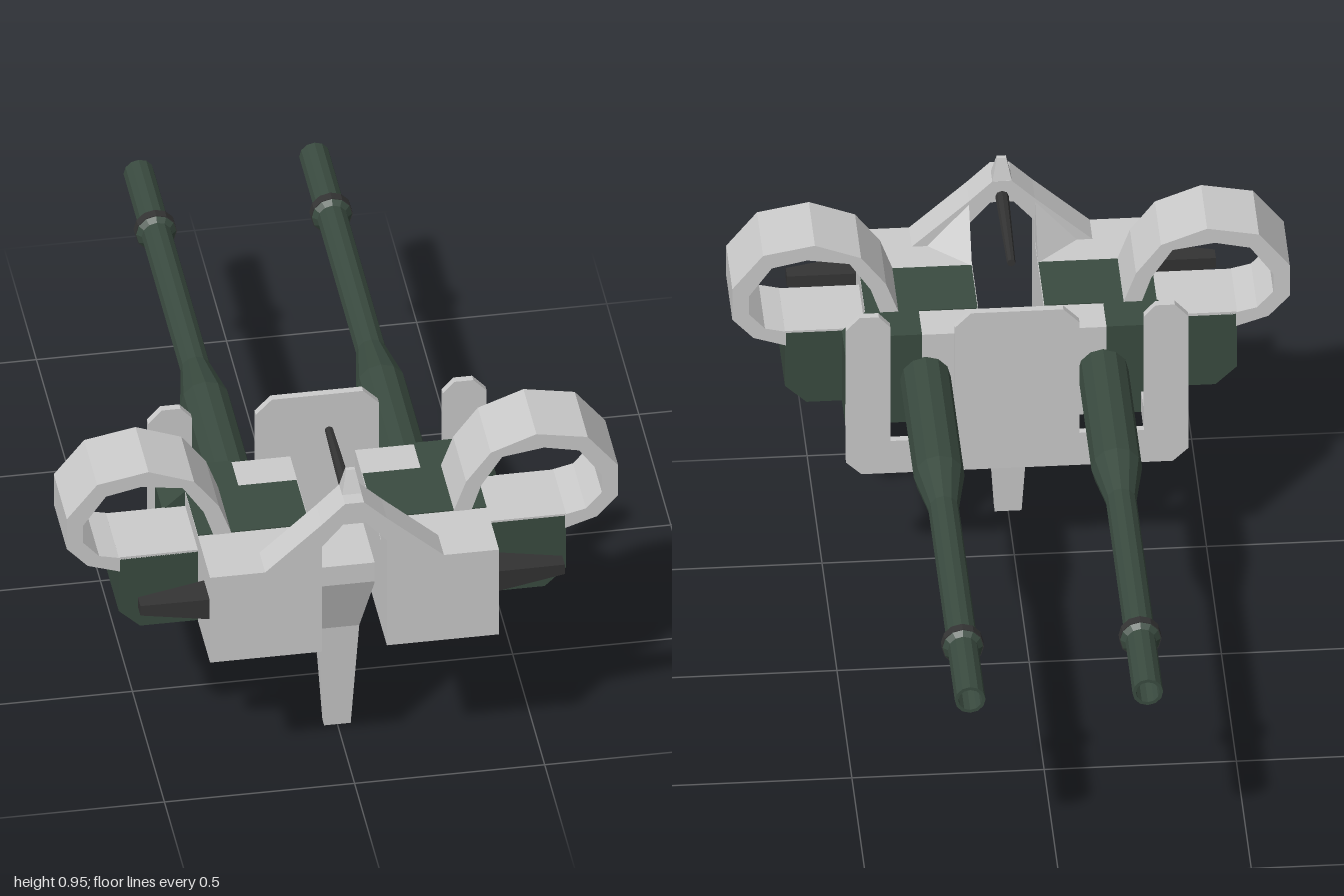
import * as THREE from 'three';
import { ConvexGeometry } from 'three/addons/geometries/ConvexGeometry.js';

const paint = (color) => new THREE.MeshStandardMaterial({ color, flatShading: true });
const grey = paint(0xcccccc);
const green = paint(0x3a4b40);
const black = paint(0x343434);

export function createModel() {
  const root = new THREE.Group();

  const add = (name, geometry, material) => {
    const mesh = new THREE.Mesh(geometry, material);
    mesh.name = name;
    root.add(mesh);
    return mesh;
  };
  // Box given by its limits
  const box = (name, mat, x0, x1, y0, y1, z0, z1) => {
    const m = add(name, new THREE.BoxGeometry(Math.abs(x1 - x0), y1 - y0, z1 - z0), mat);
    m.position.set((x0 + x1) / 2, (y0 + y1) / 2, (z0 + z1) / 2);
  };
  // Front outline (x, y) extruded from z0 to z1; s mirrors it in x
  const slab = (name, mat, pts, z0, z1, s = 1) => {
    const shape = new THREE.Shape(pts.map(([x, y]) => new THREE.Vector2(s * x, y)));
    const g = new THREE.ExtrudeGeometry(shape, { depth: z1 - z0, bevelEnabled: false });
    add(name, g.translate(0, 0, z0), mat);
  };
  const hull = (name, mat, pts) =>
    add(name, new ConvexGeometry(pts.map((p) => new THREE.Vector3(...p))), mat);
  // Complete a half outline with its mirror image
  const symmetric = (half) => [...half, ...half.map(([x, y]) => [-x, y]).reverse()];
  // Corners of a rectangle at height y
  const level = (y, hx, z0, z1) => [[-hx, y, z0], [hx, y, z0], [hx, y, z1], [-hx, y, z1]];

  // Pedestal spike and the yoke between the guns
  hull('pedestal', grey, [...level(0, 0.035, 0.705, 0.732), ...level(0.32, 0.055, 0.69, 0.747)]);
  hull('pedestalFlare', grey, [...level(0.32, 0.055, 0.69, 0.747), ...level(0.5, 0.086, 0.62, 0.81)]);
  box('yoke', grey, -0.086, 0.086, 0.5, 0.56, 0.62, 0.81);

  // Arched front frame joining the housings
  slab('frontArch', grey, symmetric([
    [0.03, 0.828], [0.085, 0.765], [0.085, 0.69], [0.235, 0.7], [0.085, 0.835], [0.025, 0.893],
  ]), 0.91, 1);
  hull('frontSightBlade', grey, [
    ...level(0.89, 0.026, 0.91, 0.96), ...level(0.955, 0.012, 0.925, 0.937),
  ]);
  const rod = add('sightRod', new THREE.CylinderGeometry(0.018, 0.011, 0.33, 8), black);
  rod.rotation.x = Math.PI / 2;
  rod.position.set(0, 0.845, 0.765);

  // Slotted shield plate behind the guns
  slab('shieldPlate', grey, symmetric([
    [0.12, 0.828], [0.162, 0.785], [0.162, 0.44], [0.33, 0.44], [0.33, 0.795], [0.36, 0.828],
    [0.41, 0.828], [0.445, 0.79], [0.445, 0.378], [0.405, 0.34],
  ]), 0.4, 0.42);

  // Barrel profile: radius, distance from the housing
  const barrel = [
    [0, 0], [0.066, 0], [0.066, 0.46], [0.04, 0.61], [0.04, 1.215], [0.054, 1.228],
    [0.054, 1.252], [0.04, 1.265], [0.04, 1.5], [0.031, 1.5], [0.031, 1.4], [0, 1.4],
  ].map(([r, d]) => new THREE.Vector2(r, d));

  // Belt loop outline, outer edge then inner edge
  const loop = [
    [0.29, 0.695], [0.325, 0.79], [0.39, 0.875], [0.51, 0.92], [0.645, 0.895], [0.725, 0.795],
    [0.725, 0.7], [0.67, 0.64], [0.585, 0.612], [0.585, 0.655], [0.64, 0.668], [0.682, 0.715],
    [0.682, 0.77], [0.622, 0.855], [0.53, 0.875], [0.42, 0.858], [0.365, 0.775], [0.338, 0.695],
  ];

  for (const s of [1, -1]) {
    // Gun housing with its cover and rear feed block
    box('gunHousing', grey, s * 0.085, s * 0.38, 0.43, 0.7, 0.5, 1);
    box('housingCover', green, s * 0.087, s * 0.379, 0.69, 0.703, 0.61, 0.81);
    slab('feedBlock', green, [
      [0.24, 0.432], [0.44, 0.432], [0.44, 0.65], [0.38, 0.703], [0.24, 0.703],
    ], 0.497, 0.612, s);
    // Brace from the arch down to the housing
    hull('archBrace', grey, [
      [s * 0.086, 0.83, 0.915], [s * 0.086, 0.7, 0.915], [s * 0.2, 0.7, 0.915], [s * 0.086, 0.7, 0.81],
    ]);
    // Ammunition box and the belt loop above it
    slab('ammunitionBox', green, [
      [0.37, 0.432], [0.532, 0.432], [0.588, 0.485], [0.588, 0.65], [0.37, 0.65],
    ], 0.61, 0.81, s);
    box('feedTray', grey, s * 0.375, s * 0.588, 0.648, 0.656, 0.61, 0.81);
    slab('beltLoop', grey, loop, 0.608, 0.812, s);
    // Bracket holding the shield plate
    box('shieldBracket', grey, s * 0.33, s * 0.44, 0.431, 0.495, 0.41, 0.5);

    // Tapered side grip
    const grip = (x, hy, hz) => [[1, 1], [1, -1], [-1, 1], [-1, -1]]
      .map(([a, b]) => [s * x, 0.595 + a * hy, 0.95 + b * hz]);
    hull('sideGrip', black, [...grip(0.37, 0.032, 0.045), ...grip(0.558, 0.015, 0.02)]);

    // Barrel with muzzle collar and bore
    const tube = add('barrel', new THREE.LatheGeometry(barrel, 12), green);
    tube.rotation.x = -Math.PI / 2;
    tube.position.set(s * 0.231, 0.565, 0.5);
    const collar = add('muzzleCollar', new THREE.CylinderGeometry(0.055, 0.055, 0.026, 12), black);
    collar.rotation.x = Math.PI / 2;
    collar.position.set(s * 0.231, 0.565, -0.74);
  }
  return root;
}
